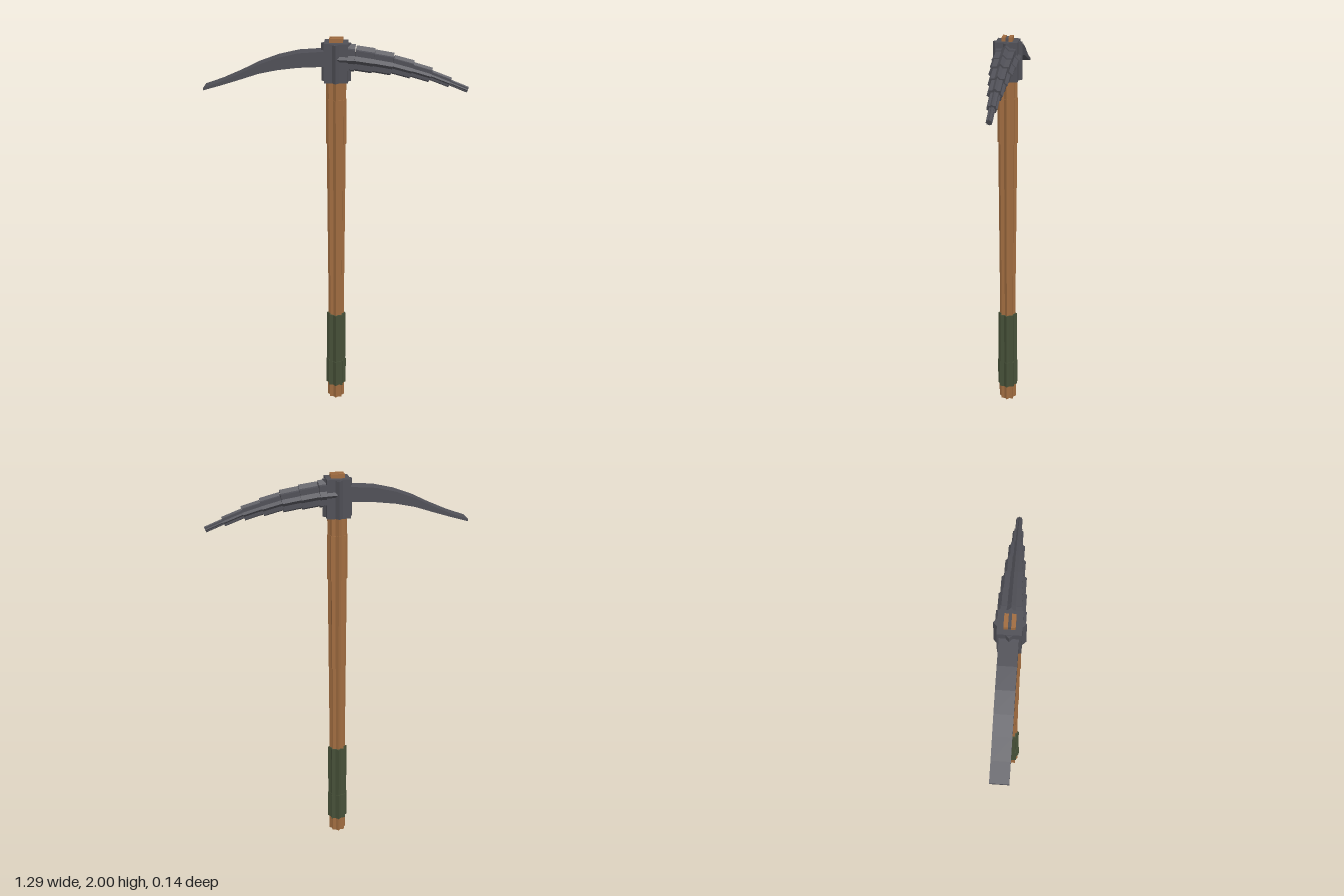
import * as THREE from 'three';

const wood = new THREE.MeshStandardMaterial({ color: 0xa06c40, name: 'wood' });
const metal = new THREE.MeshStandardMaterial({ color: 0x505057, name: 'dark metal' });
const wrap = new THREE.MeshStandardMaterial({ color: 0x465038, name: 'green wrap' });

// Eight-pointed outline: a square crossed with the same square turned 45 degrees
function starShape(radius) {
  const points = [];
  for (let i = 0; i < 16; i++) {
    const r = i % 2 ? radius * 0.765 : radius;
    const a = (i * Math.PI) / 8;
    points.push(new THREE.Vector2(r * Math.cos(a), r * Math.sin(a)));
  }
  return new THREE.Shape(points);
}

// Straight star-section bar between two points in the x-y plane
function bar(name, from, to, radius, material) {
  const a = new THREE.Vector3(from[0], from[1], 0);
  const b = new THREE.Vector3(to[0], to[1], 0);
  const geometry = new THREE.ExtrudeGeometry(starShape(radius), { depth: a.distanceTo(b), bevelEnabled: false });
  const mesh = new THREE.Mesh(geometry, material);
  mesh.name = name;
  mesh.position.copy(a);
  mesh.lookAt(b);
  return mesh;
}

function box(name, size, position, material) {
  const mesh = new THREE.Mesh(new THREE.BoxGeometry(...size), material);
  mesh.name = name;
  mesh.position.set(...position);
  return mesh;
}

export function createModel() {
  const model = new THREE.Group();
  model.name = 'pickaxe';

  // Handle in slightly stepped lengths: [bottom, top, radius]
  const handle = new THREE.Group();
  handle.name = 'handle';
  const lengths = [
    [0, 0.1, 0.045], [0.5, 0.75, 0.042], [0.75, 0.99, 0.043], [0.99, 1.23, 0.045],
    [1.23, 1.47, 0.047], [1.47, 1.7, 0.051], [1.7, 1.8, 0.049],
  ];
  for (const [y0, y1, r] of lengths) handle.add(bar('handleLength', [0, y0], [0, y1], r, wood));
  model.add(handle);

  // Wrapped grip with a thicker lower band
  model.add(bar('grip', [0, 0.22], [0, 0.515], 0.05, wrap));
  model.add(bar('gripBand', [0, 0.08], [0, 0.23], 0.053, wrap));

  // Head socket: a block crossed with a turned block
  const socket = new THREE.Group();
  socket.name = 'socket';
  socket.add(box('socketBlock', [0.115, 0.19, 0.108], [0, 1.885, 0], metal));
  const turned = box('socketTurnedBlock', [0.102, 0.185, 0.102], [0, 1.883, 0], metal);
  turned.rotation.y = Math.PI / 4;
  socket.add(turned);
  model.add(socket);

  // Handle end showing through the socket, split by a metal wedge
  for (const s of [-1, 1]) model.add(box('handleEnd', [0.066, 0.03, 0.019], [0, 1.985, s * 0.0165], wood));
  model.add(box('wedge', [0.06, 0.025, 0.014], [0, 1.983, 0], metal));

  // Pointed side: stepped bars curving down to the tip
  const pick = new THREE.Group();
  pick.name = 'pick';
  const path = [[0, 1.908], [0.09, 1.903], [0.18, 1.89], [0.27, 1.875], [0.365, 1.85], [0.455, 1.824], [0.55, 1.788], [0.637, 1.753]];
  const radii = [0.067, 0.062, 0.056, 0.046, 0.037, 0.025, 0.015];
  radii.forEach((r, i) => pick.add(bar('pickLength', path[i], path[i + 1], r, metal)));
  model.add(pick);

  // Flat side: curved blade thinning to a chisel edge, [x, top, bottom]
  const sections = [
    [0, 1.946, 1.868], [-0.07, 1.94, 1.867], [-0.18, 1.932, 1.862], [-0.28, 1.909, 1.85],
    [-0.375, 1.874, 1.83], [-0.46, 1.832, 1.802], [-0.555, 1.79, 1.772], [-0.645, 1.758, 1.746],
  ];
  const outline = [
    ...sections.map(([x, top]) => new THREE.Vector2(x, top)),
    ...sections.slice().reverse().map(([x, , low]) => new THREE.Vector2(x, low)),
  ];
  const blade = new THREE.Mesh(
    new THREE.ExtrudeGeometry(new THREE.Shape(outline), { depth: 0.086, bevelEnabled: false }), metal);
  blade.name = 'chiselBlade';
  blade.position.z = -0.044;
  model.add(blade);

  return model;
}
